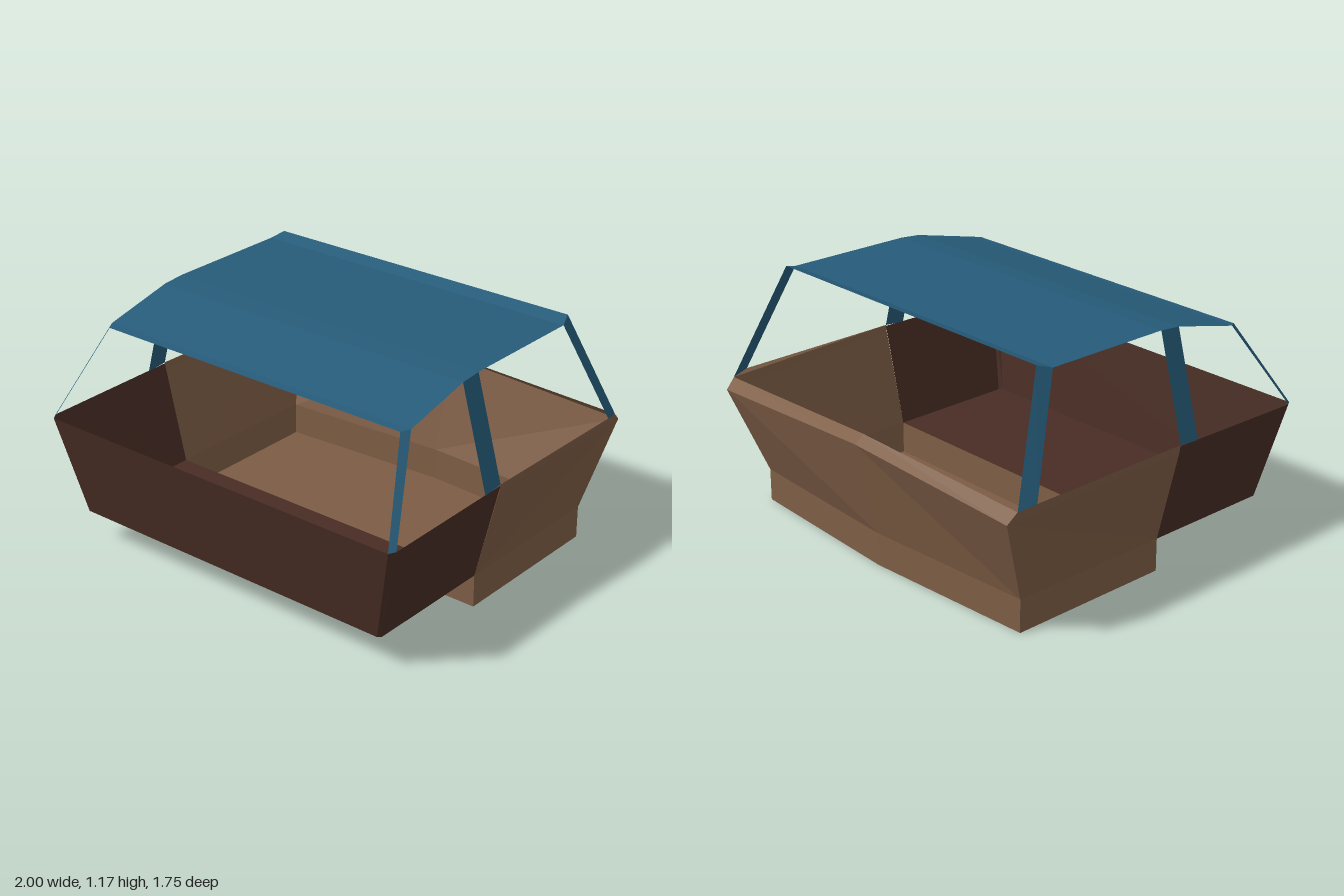
import * as THREE from 'three';

const mat = (name, color) => {
  const m = new THREE.MeshStandardMaterial({ color, side: THREE.DoubleSide });
  m.name = name;
  return m;
};

// Mirror a point across x = 0
const flip = ([x, y, z]) => [-x, y, z];
// Full ring from its left half: right side first, then left side reversed
const ring = (half) => [...half.map(flip), ...[...half].reverse()];
// Row spanning from the right side to the left
const span = (p) => [flip(p), p];

// Faceted sheet through rows holding equal numbers of points
function sheet(name, rows, material) {
  const pos = [];
  for (let i = 0; i < rows.length - 1; i++) {
    for (let j = 0; j < rows[i].length - 1; j++) {
      const a = rows[i][j], b = rows[i][j + 1];
      const c = rows[i + 1][j + 1], d = rows[i + 1][j];
      pos.push(...a, ...b, ...c, ...a, ...c, ...d);
    }
  }
  const g = new THREE.BufferGeometry();
  g.setAttribute('position', new THREE.Float32BufferAttribute(pos, 3));
  g.computeVertexNormals();
  const mesh = new THREE.Mesh(g, material);
  mesh.name = name;
  return mesh;
}

export function createModel() {
  const model = new THREE.Group();
  model.name = 'canopiedTub';
  const brown = mat('lightBrown', 0x7d5d45);
  const dark = mat('darkBrown', 0x482d24);
  const blue = mat('canopyBlue', 0x265b79);

  // Front tub: flared walls with narrow chamfered corners, and a raised floor
  const frontTop = [[1, 0.65, 0.12], [1, 0.64, 0.84], [0.98, 0.637, 0.87]];
  const frontLow = [[0.88, 0.16, 0.12], [0.88, 0.16, 0.775], [0.865, 0.16, 0.79]];
  model.add(sheet('frontWalls', [ring(frontLow), ring(frontTop)], dark));
  model.add(sheet('frontFloor', frontLow.map(span), dark));

  // Rear tub: deeper floor, upright lower walls and a step up to the front floor
  const row = (p) => [flip(p), [0, p[1], -0.76], p];
  const low = [0.88, 0, -0.71], knee = [0.88, 0.16, -0.71];
  model.add(sheet('rearFloor', [
    [[-0.88, 0, 0.12], [0, 0, 0.12], [0.88, 0, 0.12]], row(low)], brown));
  model.add(sheet('floorStep', [span([0.88, 0, 0.12]), span([0.88, 0.16, 0.12])], brown));

  // Rear wall bows out at the centre and ends in an inward sloping lip
  const lipLow = [[-0.97, 0.59, -0.87], [0, 0.63, -0.875], [0.97, 0.59, -0.87]];
  const lipTop = [[-0.98, 0.637, -0.82], [0, 0.665, -0.825], [0.98, 0.637, -0.82]];
  model.add(sheet('rearWall', [row(low), row(knee), lipLow], brown));
  model.add(sheet('rearLip', [lipLow, lipTop], brown));

  // Canopy sheet with clipped corners
  const roof = [
    [0.84, 1.045, 0.62], [0.865, 1.05, 0.58], [0.865, 1.135, 0.23],
    [0.865, 1.145, 0.12], [0.865, 1.148, -0.52], [0.84, 1.17, -0.59],
  ];
  model.add(sheet('canopy', roof.map(span), blue));

  // Rear side walls and canopy posts, mirrored
  for (const [side, f] of [['left', (p) => p], ['right', flip]]) {
    const part = (name, rows, m) =>
      model.add(sheet(side + name, rows.map((r) => r.map(f)), m));
    part('RearSideWall', [
      [[0.88, 0, 0.12], low],
      [[0.88, 0.16, 0.12], knee],
      [[0.995, 0.62, 0.12], lipLow[2]],
      [[1, 0.655, 0.12], lipTop[2]],
    ], brown);
    part('RearRimCorner', [[[1, 0.655, 0.12], [1, 0.652, -0.73]],
      [[1, 0.655, 0.12], lipTop[2]]], brown);
    part('FrontPost', [[frontTop[2], frontTop[1]], [roof[0], roof[1]]], blue);
    part('MiddlePost', [[[1, 0.645, 0.23], [1, 0.655, 0.12]], [roof[2], roof[3]]], blue);
    part('RearPost', [[[1, 0.652, -0.73], lipTop[2]], [roof[4], roof[5]]], blue);
  }
  return model;
}
